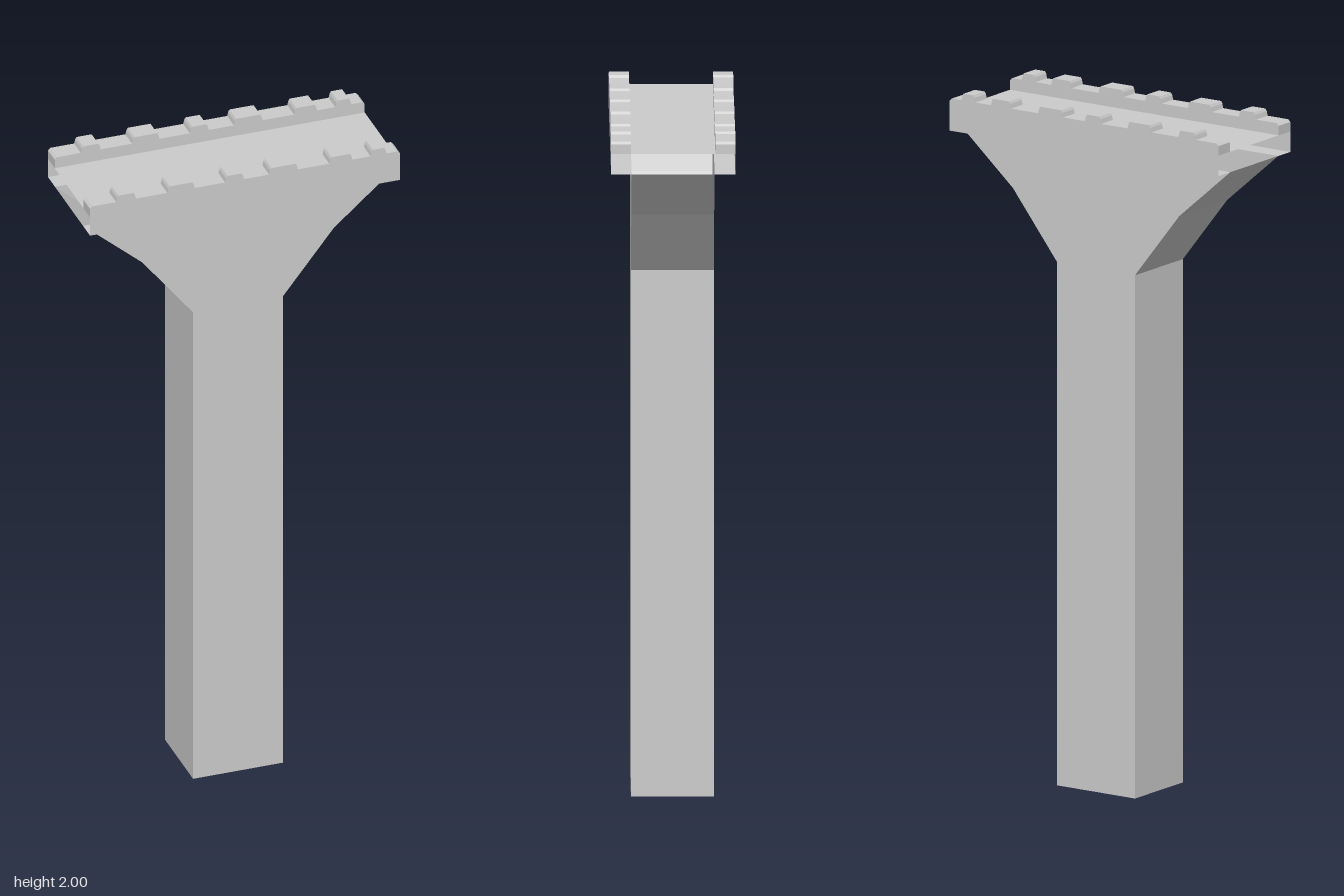
import * as THREE from 'three';

const material = new THREE.MeshStandardMaterial({ color: 0xcccccc, flatShading: true, side: THREE.DoubleSide });

const HALF = 0.469;                       // half length of the deck
const Z_IN = 0.12, Z_OUT = 0.177;         // parapet inner and outer faces
const Z_PIER = 0.118;                     // half depth of the pier
const Y_UNDER = 1.885, Y_DECK = 1.945, Y_CURB = 1.98, Y_TOP = 2;

// Open ribbon: an x/y profile swept straight from z0 to z1
function ribbon(points, z0, z1) {
  const pos = [];
  for (let i = 0; i + 1 < points.length; i++) {
    const [ax, ay] = points[i], [bx, by] = points[i + 1];
    pos.push(ax, ay, z0, bx, by, z0, bx, by, z1);
    pos.push(ax, ay, z0, bx, by, z1, ax, ay, z1);
  }
  const g = new THREE.BufferGeometry();
  g.setAttribute('position', new THREE.Float32BufferAttribute(pos, 3));
  g.computeVertexNormals();
  return g;
}

function add(parent, name, geometry, z = 0, turn = 0) {
  const mesh = new THREE.Mesh(geometry, material);
  mesh.name = name;
  mesh.position.z = z;
  mesh.rotation.y = turn;
  parent.add(mesh);
  return mesh;
}

const toShape = (pts) => new THREE.Shape(pts.map(([x, y]) => new THREE.Vector2(x, y)));

export function createModel() {
  const model = new THREE.Group();
  model.name = 'bridgePier';

  // Hollow pier flaring into the capital, open at top and bottom
  const right = [[0.136, 0], [0.136, 1.535], [0.29, 1.73], [HALF, Y_UNDER]];
  const left = right.map(([x, y]) => [-x, y]).reverse();
  const pier = new THREE.Group();
  pier.name = 'pier';
  model.add(pier);
  const face = new THREE.ShapeGeometry(toShape([...right, ...left]));
  add(pier, 'pierFront', face, Z_PIER);
  add(pier, 'pierBack', face, -Z_PIER, Math.PI);
  add(pier, 'pierLeftSide', ribbon(right, -Z_PIER, Z_PIER));
  add(pier, 'pierRightSide', ribbon(left, -Z_PIER, Z_PIER));

  // Road deck, open at both ends
  add(model, 'deckTop', ribbon([[HALF, Y_DECK], [-HALF, Y_DECK]], -Z_IN, Z_IN));

  // Stone parapet profile with uneven raised blocks
  const blocks = [[-0.39, -0.33], [-0.235, -0.152], [-0.06, -0.003], [0.073, 0.16], [0.255, 0.325], [0.38, 0.428]];
  const c = 0.007;
  const profile = [[HALF, Y_DECK], [HALF, Y_CURB - c], [HALF - c, Y_CURB]];
  for (const [a, b] of [...blocks].reverse()) {
    profile.push([b, Y_CURB], [b - 0.003, Y_TOP - c], [b - c, Y_TOP]);
    profile.push([a + c, Y_TOP], [a + 0.003, Y_TOP - c], [a, Y_CURB]);
  }
  profile.push([-HALF + c, Y_CURB], [-HALF, Y_CURB - c], [-HALF, Y_DECK]);
  const parapet = new THREE.ExtrudeGeometry(toShape(profile), { depth: Z_OUT - Z_IN, bevelEnabled: false });

  // Fascia below each parapet, and the ledge beside the capital
  const fascia = new THREE.PlaneGeometry(2 * HALF, Y_DECK - Y_UNDER).translate(0, (Y_DECK + Y_UNDER) / 2, 0);
  const ledge = ribbon([[-HALF, Y_UNDER], [HALF, Y_UNDER]], Z_PIER, Z_OUT);
  for (const [side, s] of [['front', 1], ['back', -1]]) {
    const turn = s > 0 ? 0 : Math.PI;
    add(model, side + 'Parapet', parapet, s > 0 ? Z_IN : -Z_OUT);
    add(model, side + 'Fascia', fascia, s * Z_OUT, turn);
    add(model, side + 'Ledge', ledge, 0, turn);
  }
  return model;
}
